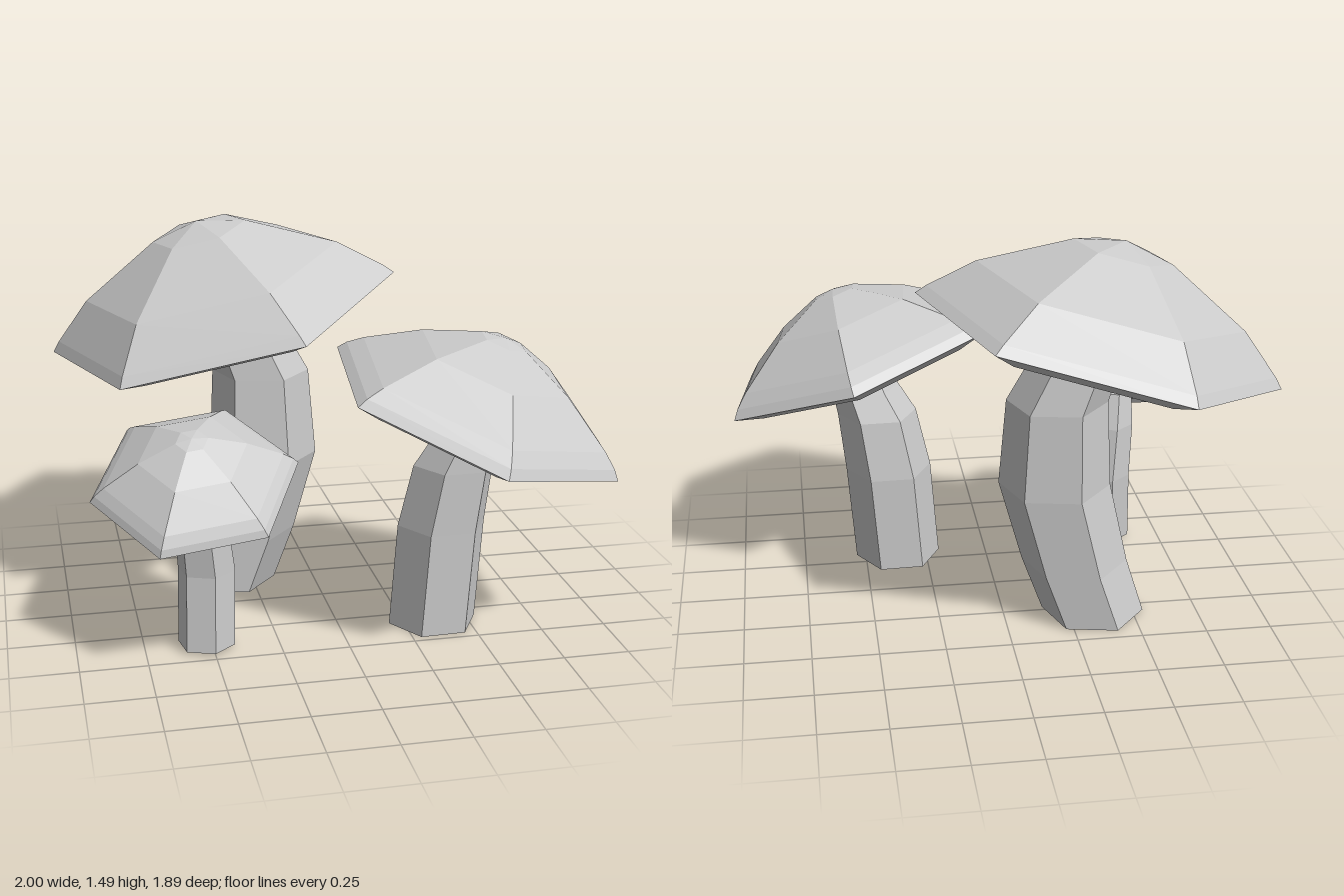
import * as THREE from 'three';

const SIDES = 6;
const V = (x, y, z) => new THREE.Vector3(x, y, z);

// Skins a stack of hexagonal rings (arrays of Vector3) with flat facets
function loft(name, rings, material) {
  const pos = [];
  const tri = (a, b, c) => {
    const area = b.clone().sub(a).cross(c.clone().sub(a)).length();
    if (area > 1e-7) pos.push(...a.toArray(), ...b.toArray(), ...c.toArray());
  };
  for (let i = 0; i < rings.length - 1; i++) {
    for (let j = 0; j < SIDES; j++) {
      const k = (j + 1) % SIDES;
      const [a, b, c, d] = [rings[i][j], rings[i + 1][j], rings[i + 1][k], rings[i][k]];
      tri(a, b, c);
      tri(a, c, d);
    }
  }
  const geo = new THREE.BufferGeometry();
  geo.setAttribute('position', new THREE.Float32BufferAttribute(pos, 3));
  geo.computeVertexNormals();
  const mesh = new THREE.Mesh(geo, material);
  mesh.name = name;
  return mesh;
}

// One ring: centre, two in-plane axes, radius and starting angle
function ring(center, u, w, radius, phase = 0) {
  return Array.from({ length: SIDES }, (_, j) => {
    const a = phase + (j * 2 * Math.PI) / SIDES;
    return center.clone().addScaledVector(u, radius * Math.cos(a)).addScaledVector(w, radius * Math.sin(a));
  });
}

// Tilted cap: profile of [radius, height along the axis], underside first
function makeCap({ center, normal, corner, profile }, material) {
  const n = normal.clone().normalize();
  const u = corner.clone().sub(center);
  u.addScaledVector(n, -u.dot(n)).normalize();
  const w = u.clone().cross(n);
  const rings = profile.map(([r, h]) => ring(center.clone().addScaledVector(n, h), u, w, r));
  return loft('cap', rings, material);
}

// Bent stem: sections of [x, y, z, radius], closed at both ends
function makeStem({ sections, phase }, material) {
  const first = sections[0], last = sections[sections.length - 1];
  const closed = [[...first.slice(0, 3), 0], ...sections, [...last.slice(0, 3), 0]];
  const rings = closed.map(([x, y, z, r]) => ring(V(x, y, z), V(1, 0, 0), V(0, 0, 1), r, phase));
  return loft('stem', rings, material);
}

// Recessed underside, rim lip and dome
const largeProfile = [
  [0, -0.02], [0.54, -0.02], [0.555, -0.05], [0.693, 0],
  [0.66, 0.037], [0.505, 0.173], [0.185, 0.341], [0, 0.383],
];
const mediumProfile = [
  [0, -0.017], [0.455, -0.017], [0.467, -0.042], [0.583, 0],
  [0.555, 0.035], [0.5, 0.08], [0.3, 0.205], [0.09, 0.295], [0, 0.31],
];
const smallProfile = mediumProfile.map(([r, h]) => [r * 0.657, h * 0.7]);

const mushrooms = [
  {
    name: 'largeMushroom',
    cap: { center: V(-0.345, 1.115, -0.275), normal: V(-0.264, 1, 0.053), corner: V(0.31, 1.28, -0.12), profile: largeProfile },
    stem: {
      phase: 0.19,
      sections: [
        [-0.35, 0, -0.265, 0.197], [-0.275, 0.22, -0.255, 0.203], [-0.195, 0.54, -0.245, 0.212],
        [-0.2, 0.88, -0.253, 0.19], [-0.28, 1.07, -0.262, 0.165], [-0.33, 1.14, -0.265, 0.14],
      ],
    },
  },
  {
    name: 'mediumMushroom',
    cap: { center: V(0.495, 0.845, 0.375), normal: V(0.332, 1, 0.144), corner: V(1.0, 0.71, 0.11), profile: mediumProfile },
    stem: {
      phase: -0.03,
      sections: [
        [0.365, 0, 0.32, 0.172], [0.395, 0.4, 0.316, 0.172], [0.435, 0.64, 0.33, 0.158],
        [0.48, 0.75, 0.345, 0.135], [0.51, 0.86, 0.36, 0.11],
      ],
    },
  },
  {
    name: 'smallMushroom',
    cap: { center: V(-0.55, 0.655, 0.39), normal: V(-0.106, 1, 0.475), corner: V(-0.17, 0.7, 0.38), profile: smallProfile },
    stem: {
      phase: 0.35,
      sections: [
        [-0.52, 0.01, 0.37, 0.108], [-0.512, 0.3, 0.35, 0.108],
        [-0.533, 0.52, 0.37, 0.1], [-0.55, 0.66, 0.395, 0.08],
      ],
    },
  },
];

export function createModel() {
  const material = new THREE.MeshStandardMaterial({ color: 0xcccccc, flatShading: true });
  const model = new THREE.Group();
  model.name = 'mushroomCluster';
  for (const { name, cap, stem } of mushrooms) {
    const group = new THREE.Group();
    group.name = name;
    group.add(makeStem(stem, material), makeCap(cap, material));
    model.add(group);
  }
  return model;
}
